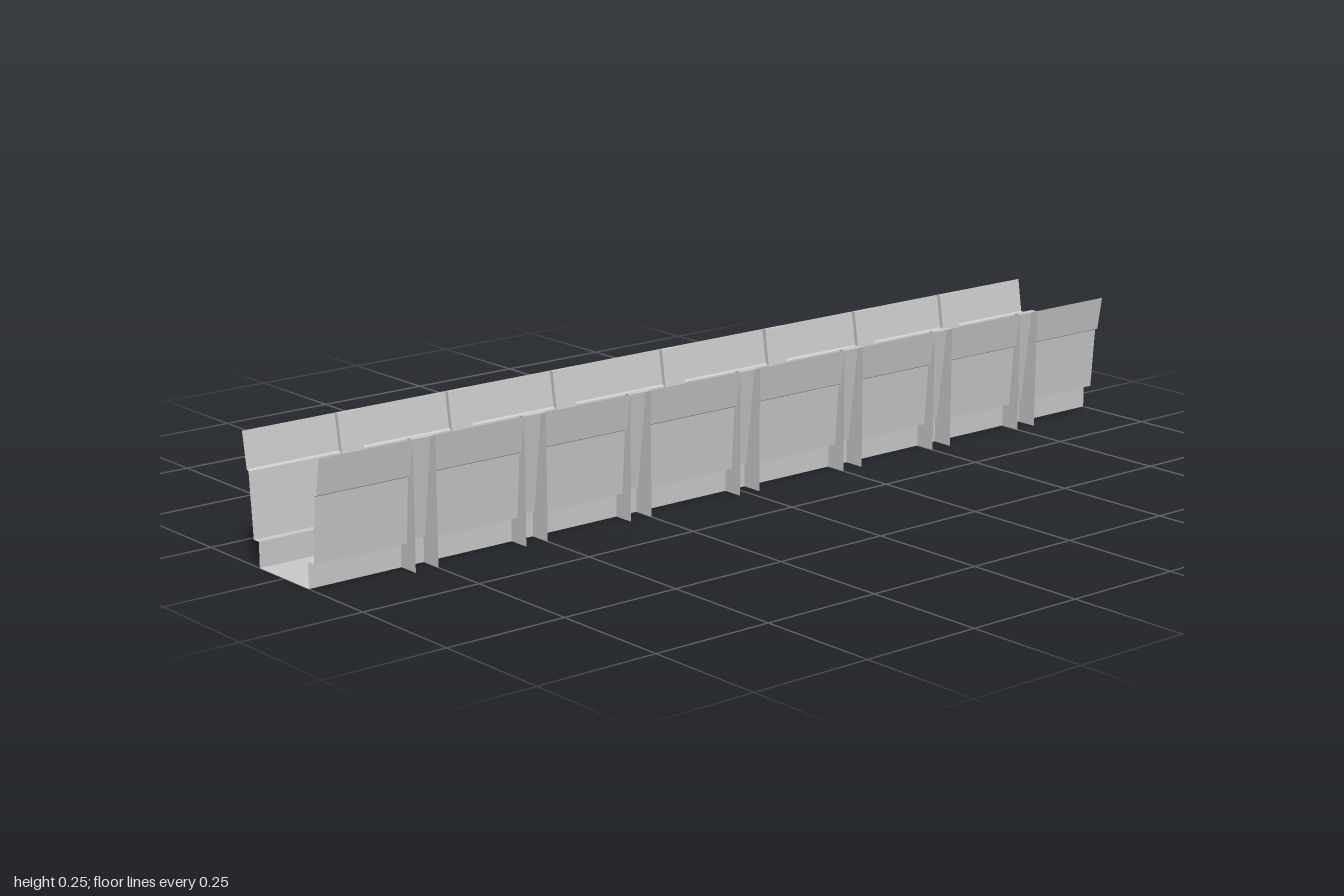
import * as THREE from 'three';

const material = new THREE.MeshStandardMaterial({ color: 0xcccccc, side: THREE.DoubleSide, flatShading: true });

function addMesh(parent, name, geometry) {
  const mesh = new THREE.Mesh(geometry, material);
  mesh.name = name;
  parent.add(mesh);
  return mesh;
}

// Thin sheet: an open [x, y] profile swept from z0 to z1
function sheet(profile, z0, z1) {
  const pos = [];
  for (let i = 0; i < profile.length - 1; i++) {
    const [ax, ay] = profile[i], [bx, by] = profile[i + 1];
    pos.push(ax, ay, z0, ax, ay, z1, bx, by, z1, ax, ay, z0, bx, by, z1, bx, by, z0);
  }
  const g = new THREE.BufferGeometry();
  g.setAttribute('position', new THREE.Float32BufferAttribute(pos, 3));
  g.computeVertexNormals();
  return g;
}

export function createModel() {
  const group = new THREE.Group();
  group.name = 'trough';

  const ribCentres = [-0.775, -0.525, -0.275, 0, 0.275, 0.525, 0.775];
  const half = 0.025;
  const height = 0.25, kerb = 0.05, outer = 0.125;

  // The two sides differ slightly in where the ribs start and end
  const sides = [
    { name: 'left', s: 1, foot: 0.08, ribLow: 0.085, ribTop: 0.11 },
    { name: 'right', s: -1, foot: 0.082, ribLow: 0.086, ribTop: 0.116 },
  ];

  addMesh(group, 'floor', sheet([[0.08, 0], [-0.082, 0]], -1, 1));

  for (const { name, s, foot, ribLow, ribTop } of sides) {
    const wall = new THREE.Group();
    wall.name = name + 'Wall';
    group.add(wall);
    const flip = (points) => points.map(([x, y]) => [s * x, y]);

    // Low kerb running the full length
    addMesh(wall, 'kerb', sheet(flip([[foot, 0], [foot, kerb]]), -1, 1));

    // Leaning panels between the ribs: ledge, lower panel, small step, upper panel
    const panel = flip([[foot, kerb], [0.099, kerb], [0.108, 0.177], [0.114, 0.18], [outer, height]]);
    const edges = [-1, ...ribCentres.flatMap((z) => [z - half, z + half]), 1];
    for (let i = 0; i < edges.length; i += 2) {
      addMesh(wall, 'panel', sheet(panel, edges[i], edges[i + 1]));
    }

    // Ribs: sloping inner face with a cap, and a side plate at each edge
    const face = flip([[foot, kerb], [ribLow, kerb], [ribTop, height], [outer, height]]);
    const outline = flip([[foot, 0], [foot, kerb], [ribLow, kerb], [ribTop, height], [outer, height], [outer, 0]]);
    const plate = new THREE.ShapeGeometry(new THREE.Shape(outline.map((p) => new THREE.Vector2(...p))));
    for (const z of ribCentres) {
      const rib = new THREE.Group();
      rib.name = 'rib';
      wall.add(rib);
      addMesh(rib, 'ribFace', sheet(face, z - half, z + half));
      for (const e of [-half, half]) addMesh(rib, 'ribPlate', plate).position.z = z + e;
    }
  }
  return group;
}
